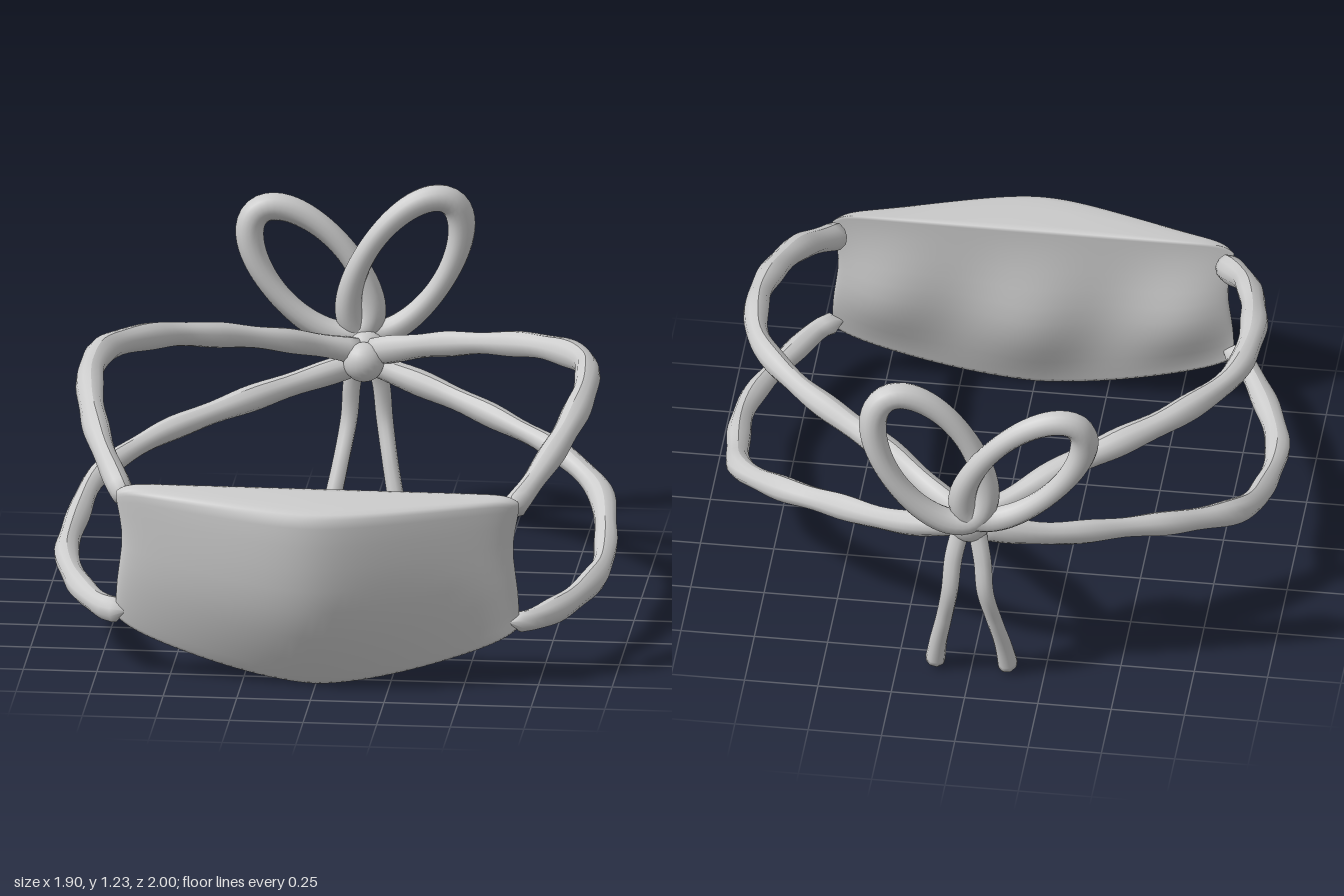
import * as THREE from 'three';

const material = new THREE.MeshStandardMaterial({ color: 0xcccccc, side: THREE.DoubleSide });
const V = (p) => new THREE.Vector3(...p);

// Tube along a curve whose radius follows radius(t, angle)
function cord(name, curve, radius, segments, sides, closed = false) {
  const g = new THREE.TubeGeometry(curve, segments, 1, sides, closed);
  const pos = g.attributes.position;
  const v = new THREE.Vector3();
  for (let i = 0; i <= segments; i++) {
    const t = i / segments;
    const c = curve.getPointAt(closed ? t % 1 : t);
    for (let j = 0; j <= sides; j++) {
      const k = i * (sides + 1) + j;
      const r = radius(t, (j / sides) * Math.PI * 2);
      v.fromBufferAttribute(pos, k).sub(c).multiplyScalar(r).add(c);
      pos.setXYZ(k, v.x, v.y, v.z);
    }
  }
  // keep the smooth tube normals for closed loops, refresh them for flared cords
  if (!closed) g.computeVertexNormals();
  const mesh = new THREE.Mesh(g, material);
  mesh.name = name;
  return mesh;
}

// Padded face cover: one closed cross-section per step across the width
function faceCover() {
  const front = [[0, 0.22], [0.02, 0.27], [0.07, 0.36], [0.14, 0.48], [0.29, 0.72], [0.44, 0.87], [0.56, 0.94],
    [0.68, 0.98], [0.8, 1], [0.9, 1], [0.945, 0.98], [0.965, 0.92], [0.978, 0.8], [0.988, 0.55], [1, 0.12]];
  const back = [1, 0.98, 0.93, 0.85, 0.75, 0.65, 0.55, 0.45, 0.35, 0.25, 0.16, 0.08, 0.02];
  const cols = 56;
  const n = front.length + back.length;
  const verts = [];
  const index = [];
  for (let i = 0; i <= cols; i++) {
    const u = Math.sin((i / cols - 0.5) * Math.PI);
    const a = Math.abs(u);
    const peak = Math.max(0, 1 - (Math.sqrt(u * u + 0.06) - 0.245) / 0.785) ** 1.12;
    const edge = Math.sqrt(Math.max(0, 1 - a ** 16));
    const depth = 0.035 * edge + 0.208 * peak;
    const bottom = 0.002 + 0.18 * a ** 1.6 + 0.025 * a ** 16;
    const top = 0.675 - 0.03 * a ** 24;
    const put = (v, z) => verts.push(
      0.685 * u * (1 - 0.03 * a ** 4 * Math.sin(Math.PI * v ** 1.5) ** 2),
      bottom + (top - bottom) * v, z);
    for (const [v, q] of front) put(v, 0.757 + depth * q);
    for (const v of back) {
      const bulge = Math.sin(Math.PI * v ** 0.8) ** 2.5 * (0.03 + 0.018 * Math.cos(u * 8.6)) * edge;
      put(v, 0.757 + depth * 0.22 * (1 - v) ** 3 - bulge);
    }
  }
  for (let i = 0; i < cols; i++) {
    for (let j = 0; j < n; j++) {
      const a = i * n + j, b = a + n;
      const c = (i + 1) * n + ((j + 1) % n), d = i * n + ((j + 1) % n);
      index.push(a, b, c, a, c, d);
    }
  }
  const g = new THREE.BufferGeometry();
  g.setAttribute('position', new THREE.Float32BufferAttribute(verts, 3));
  g.setIndex(index);
  g.computeVertexNormals();
  const mesh = new THREE.Mesh(g, material);
  mesh.name = 'faceCover';
  return mesh;
}

// Tilted elliptical bow loop, turned about its long axis by slope
class BowCurve extends THREE.Curve {
  constructor(center, a, b, tilt, slope) {
    super();
    Object.assign(this, { center, a, b, tilt, slope });
  }
  getPoint(t, target = new THREE.Vector3()) {
    const p = this.a * Math.cos(t * Math.PI * 2), q = this.b * Math.sin(t * Math.PI * 2);
    const s = Math.sin(this.tilt), c = Math.cos(this.tilt);
    return target.set(this.center[0] + p * s + q * c, this.center[1] + p * c - q * s, this.center[2] + q * this.slope);
  }
}

export function createModel() {
  const model = new THREE.Group();
  model.add(faceCover());

  // Head straps and hanging tails, mirrored left and right
  const upper = [[0.65, 0.605, 0.74], [0.68, 0.635, 0.68], [0.765, 0.73, 0.48], [0.825, 0.805, 0.22], [0.84, 0.845, 0],
    [0.8, 0.85, -0.22], [0.645, 0.83, -0.42], [0.47, 0.795, -0.55], [0.29, 0.75, -0.665], [0.12, 0.69, -0.79], [0, 0.65, -0.86]];
  const lower = [[0.65, 0.225, 0.765], [0.71, 0.222, 0.73], [0.81, 0.218, 0.54], [0.885, 0.235, 0.32], [0.908, 0.25, 0.18],
    [0.895, 0.295, -0.08], [0.85, 0.365, -0.3], [0.69, 0.44, -0.49], [0.53, 0.485, -0.605], [0.26, 0.55, -0.77], [0, 0.62, -0.86]];
  const tail = [[0.03, 0.62, -0.89], [0.05, 0.52, -0.915], [0.06, 0.4, -0.925], [0.085, 0.25, -0.88], [0.11, 0.12, -0.84], [0.125, 0.012, -0.815]];
  for (const side of [1, -1]) {
    const label = side > 0 ? 'left' : 'right';
    const path = (pts) => new THREE.CatmullRomCurve3(pts.map(([x, y, z]) => V([x * side, y, z])));
    const rope = (size, phase) => (t, ang) => (t === 0 || t === 1) ? 0.004
      : size + 0.003 * Math.sin(t * 47 + phase) + 0.003 * Math.cos(2 * ang + t * 12 + phase);
    model.add(cord(label + 'UpperStrap', path(upper), rope(0.043, side), 56, 10));
    model.add(cord(label + 'LowerStrap', path(lower), rope(0.04, side + 2), 56, 10));
    model.add(cord(label + 'Tail', path(tail),
      (t, ang) => t === 1 ? 0.002 : 0.026 + 0.014 * t ** 3 + 0.005 * Math.cos(2 * ang + t * 3), 40, 10));
  }

  // Bow loops, thicker at the tips
  const ridged = (t, ang) => 0.036 + 0.01 * Math.cos(t * Math.PI * 2) ** 2 + 0.003 * Math.cos(4 * ang);
  model.add(cord('leftBowLoop', new BowCurve([0.13, 0.94, -0.925], 0.28, 0.138, 0.565, -0.25), ridged, 64, 16, true));
  model.add(cord('rightBowLoop', new BowCurve([-0.19, 0.915, -0.92], 0.272, 0.134, -0.73, -0.15), ridged, 64, 16, true));

  // Knot: a rounded band in front and a lump behind it
  const knot = new THREE.Group();
  knot.name = 'knot';
  for (const [y, z, sx, sy, sz] of [[0.63, -0.815, 0.07, 0.068, 0.062], [0.65, -0.88, 0.07, 0.07, 0.055]]) {
    const lump = new THREE.Mesh(new THREE.SphereGeometry(1, 20, 14), material);
    lump.name = 'knotLump';
    lump.position.set(0, y, z);
    lump.scale.set(sx, sy, sz);
    knot.add(lump);
  }
  model.add(knot);
  return model;
}
